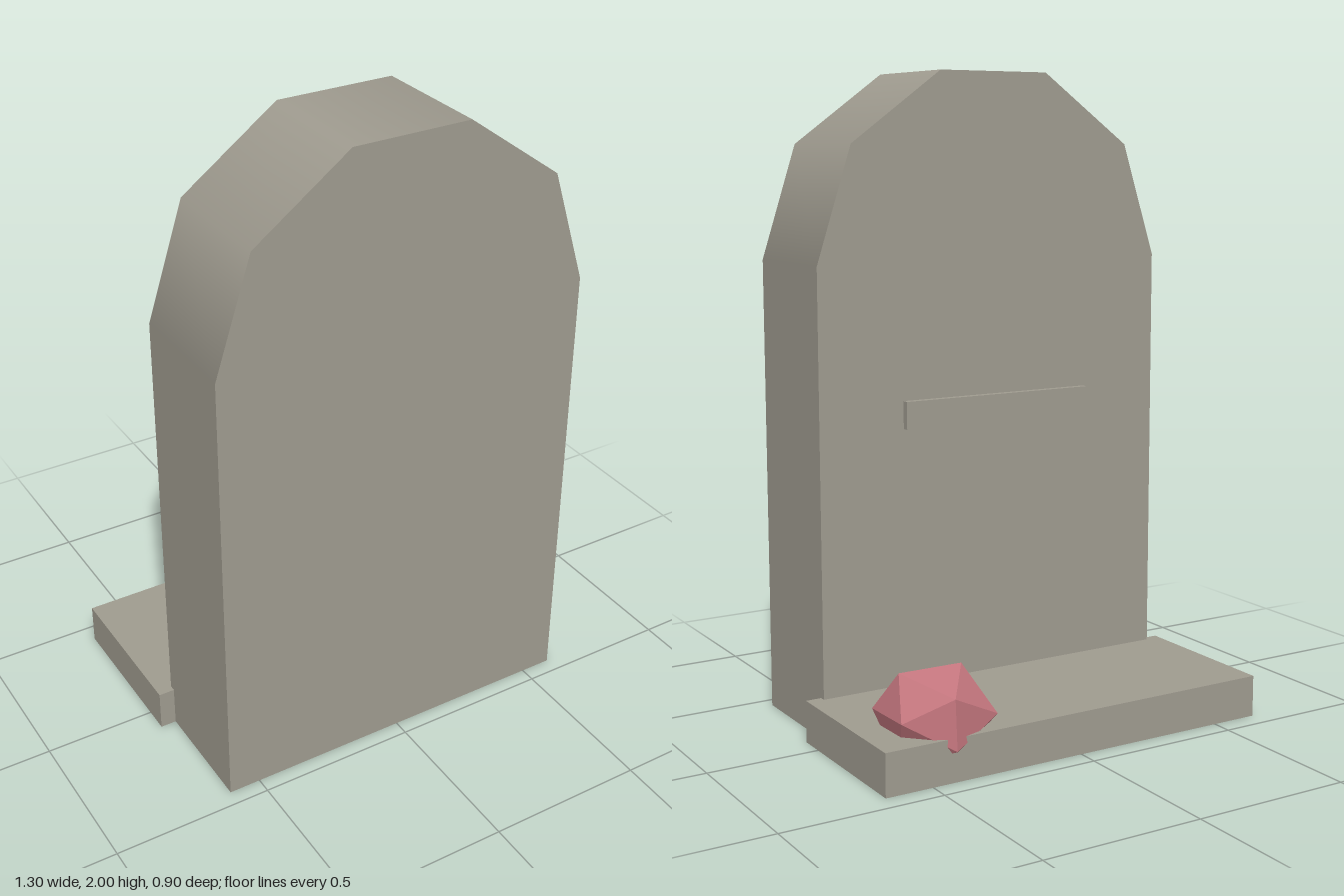
import * as THREE from 'three';
import { ConvexGeometry } from 'three/addons/geometries/ConvexGeometry.js';

export function createModel() {
  const model = new THREE.Group();
  model.name = 'headstone';

  const stone = new THREE.MeshStandardMaterial({ color: 0xa09c90 });
  stone.name = 'stone';
  const rose = new THREE.MeshStandardMaterial({ color: 0xc4767e });
  rose.name = 'rose';

  const add = (name, geometry, material, x = 0, y = 0, z = 0) => {
    const mesh = new THREE.Mesh(geometry, material);
    mesh.name = name;
    mesh.position.set(x, y, z);
    model.add(mesh);
    return mesh;
  };

  const radius = 0.6, depth = 0.39, shoulder = 1.43, slabZ = 0.255;

  // Upright stone with a five-sided, smoothly shaded half-round top
  add('tablet', new THREE.BoxGeometry(radius * 2, shoulder, depth), stone, 0, shoulder / 2, slabZ);
  const arch = new THREE.CylinderGeometry(radius, radius, depth, 5, 1, false, Math.PI / 2, Math.PI);
  arch.rotateX(Math.PI / 2);
  add('archTop', arch, stone, 0, shoulder, slabZ);

  // Ledge lying behind the stone
  add('baseLedge', new THREE.BoxGeometry(1.3, 0.13, 0.515), stone, 0, 0.065, -0.178);

  // Thin raised bar on the inscribed side
  add('inscriptionBar', new THREE.BoxGeometry(0.65, 0.085, 0.022), stone, 0, 0.975, 0.04);

  // Irregular twenty-sided bloom resting in the ledge
  const bloom = [
    [-0.105, 0.295, 0], [0.1, 0.297, 0],
    [0, 0.245, -0.15], [0, 0.24, 0.145],
    [-0.168, 0.16, -0.1], [-0.17, 0.16, 0.108],
    [0.135, 0.175, -0.08], [0.14, 0.175, 0.09],
    [0, 0.095, -0.16], [0, 0.07, 0.14],
    [-0.1, 0.02, 0], [0.1, 0.02, 0],
  ].map((p) => new THREE.Vector3(...p));
  add('flower', new ConvexGeometry(bloom), rose, 0.43, 0, -0.29);

  return model;
}
